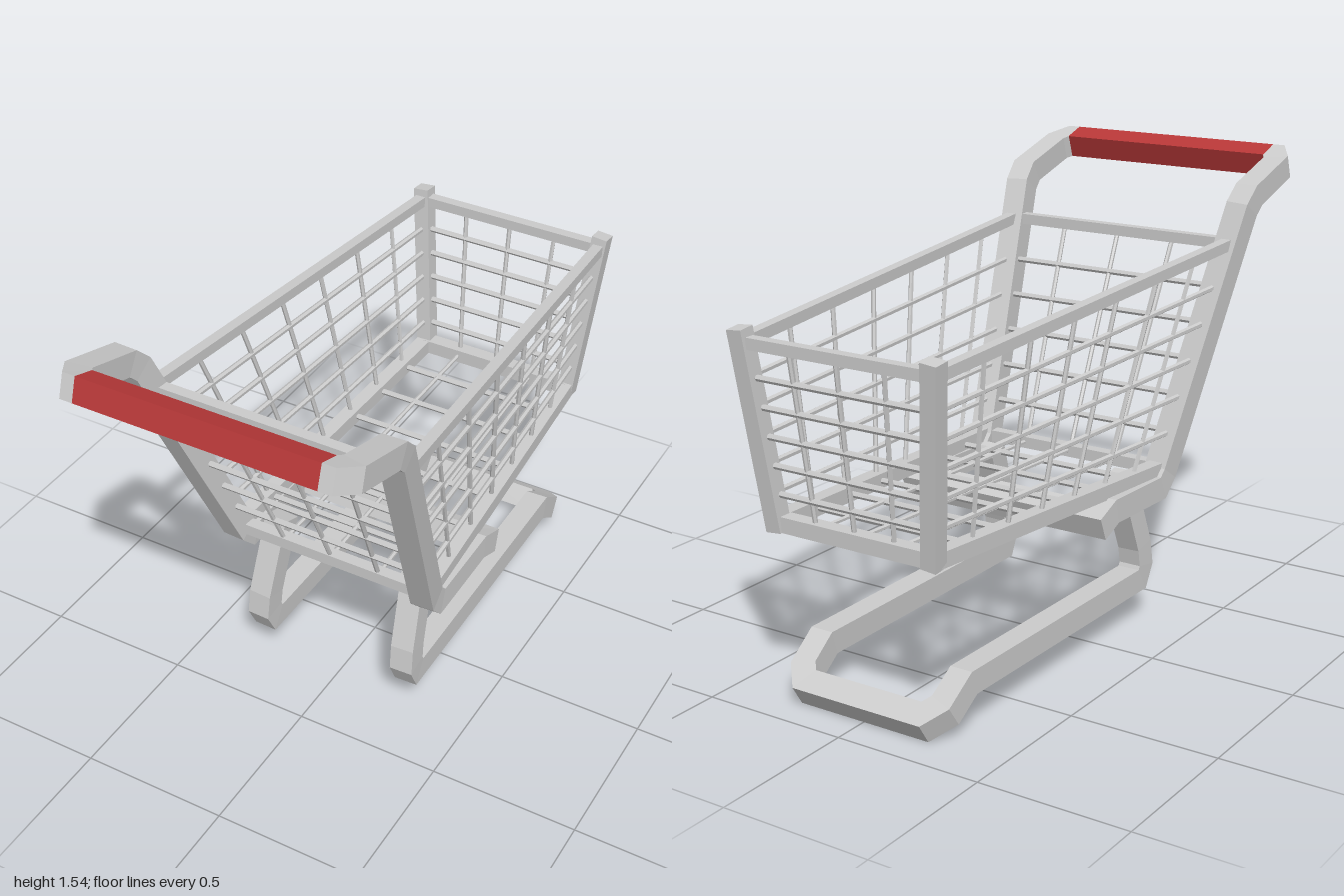
import * as THREE from 'three';

const grey = new THREE.MeshStandardMaterial({ color: 0xcccccc, flatShading: true });
const red = new THREE.MeshStandardMaterial({ color: 0xb83838, flatShading: true });
const V = (x, y, z) => new THREE.Vector3(x, y, z);

// Square bar swept along a path, mitred at every bend and capped at both ends
function bar(name, path, size, hint, material = grey) {
  const dirs = path.slice(1).map((p, i) => p.clone().sub(path[i]).normalize());
  const t = dirs[0];
  const h = hint || (Math.abs(t.z) < 0.9 ? V(0, 0, 1) : V(0, 1, 0));
  const d = h.clone().addScaledVector(t, -h.dot(t)).normalize();
  const n = t.clone().cross(d);
  const corner = (a, b) => path[0].clone().addScaledVector(d, a * size / 2).addScaledVector(n, b * size / 2);
  const rings = [[corner(1, -1), corner(1, 1), corner(-1, 1), corner(-1, -1)]];
  for (let i = 1; i < path.length; i++) {
    const dir = dirs[i - 1];
    const plane = dir.clone().add(dirs[i] || dir).normalize();
    rings.push(rings[i - 1].map(c => {
      const k = path[i].clone().sub(c).dot(plane) / dir.dot(plane);
      return c.clone().addScaledVector(dir, k);
    }));
  }
  const pts = [];
  const quad = (a, b, c, e) => pts.push(a, b, c, a, c, e);
  for (let i = 0; i + 1 < rings.length; i++) {
    for (let k = 0; k < 4; k++) {
      const m = (k + 1) % 4;
      quad(rings[i][k], rings[i][m], rings[i + 1][m], rings[i + 1][k]);
    }
  }
  const s = rings[0], e = rings[rings.length - 1];
  quad(s[3], s[2], s[1], s[0]);
  quad(e[0], e[1], e[2], e[3]);
  const geo = new THREE.BufferGeometry().setFromPoints(pts);
  geo.computeVertexNormals();
  const mesh = new THREE.Mesh(geo, material);
  mesh.name = name;
  return mesh;
}

// Six-sided wire between two points
function wire(name, a, b, radius) {
  const dir = b.clone().sub(a);
  const mesh = new THREE.Mesh(new THREE.CylinderGeometry(radius, radius, dir.length(), 6), grey);
  mesh.position.copy(a).lerp(b, 0.5);
  mesh.quaternion.setFromUnitVectors(V(0, 1, 0), dir.normalize());
  mesh.name = name;
  return mesh;
}

// Wire grid between the edge a-b and the opposite edge c-d; drop shifts the cross wires off a-b
function wirePanel(name, a, b, c, d, nu, nv, drop = 0) {
  const g = new THREE.Group();
  g.name = name;
  for (let i = 1; i < nu; i++) {
    const t = i / nu;
    g.add(wire('wire', a.clone().lerp(b, t), c.clone().lerp(d, t), 0.008));
  }
  for (let i = 1; i < nv; i++) {
    const t = drop + (1 - drop) * i / nv;
    g.add(wire('crossWire', a.clone().lerp(c, t), b.clone().lerp(d, t), 0.01));
  }
  return g;
}

export function createModel() {
  const cart = new THREE.Group();
  cart.name = 'shoppingCart';
  const tube = 0.08;

  // Handle grip
  const gripTilt = V(0, 0.32, 0.95);
  cart.add(bar('handleGrip', [V(-0.394, 1.49, 0.95), V(0.394, 1.49, 0.95)], tube, gripTilt, red));

  // Basket corners: front/back, top/bottom, on side s
  const FT = s => V(s * 0.43, 1.261, 0.595);
  const FB = s => V(s * 0.352, 0.545, 0.29);
  const BT = s => V(s * 0.343, 1.153, -0.962);
  const BB = s => V(s * 0.288, 0.59, -0.895);

  for (const s of [1, -1]) {
    const side = s > 0 ? 'left' : 'right';

    // Main frame: handle end, slanted upright, short rail under the basket, half crossbar
    cart.add(bar(side + 'MainFrame', [
      V(s * 0.394, 1.49, 0.95), V(s * 0.415, 1.49, 0.95), V(s * 0.445, 1.475, 0.905),
      V(s * 0.445, 1.413, 0.7), V(s * 0.44, 1.37, 0.657),
      V(s * 0.352, 0.533, 0.292), V(s * 0.35, 0.49, 0.25),
      V(s * 0.35, 0.498, -0.048), V(s * 0.35, 0.477, -0.1), V(0, 0.477, -0.1),
    ], tube, gripTilt));

    // Undercarriage: half crossbar, long floor rail, bent leg
    cart.add(bar(side + 'Undercarriage', [
      V(0, 0.054, -0.866), V(s * 0.22, 0.054, -0.866), V(s * 0.262, 0.085, -0.82),
      V(s * 0.266, 0.148, -0.73), V(s * 0.274, 0.148, 0.255), V(s * 0.275, 0.194, 0.278),
      V(s * 0.273, 0.265, 0.268), V(s * 0.26, 0.53, 0.175),
    ], tube, V(0, -0.54, -0.84)));

    // Basket side
    cart.add(bar(side + 'BasketRim', [FT(s), BT(s)], 0.036));
    cart.add(bar(side + 'BasketBase', [FB(s), BB(s)], 0.05));
    cart.add(bar(side + 'BackPost', [V(s * 0.285, 0.565, -0.9), V(s * 0.346, 1.195, -0.969)], 0.055));
    cart.add(wirePanel(side + 'SideWires', FT(s), BT(s), FB(s), BB(s), 7, 6, 0.03));
  }

  // Basket cross members
  for (const [name, corner, size] of [['frontRim', FT, 0.036], ['backRim', BT, 0.036],
    ['frontBase', FB, 0.04], ['backBase', BB, 0.05]]) {
    cart.add(bar(name, [corner(-1), corner(1)], size));
  }

  // Front, back and floor wires
  cart.add(wirePanel('frontWires', FT(-1), FT(1), FB(-1), FB(1), 4, 6, 0.03));
  cart.add(wirePanel('backWires', BT(-1), BT(1), BB(-1), BB(1), 4, 6, 0.03));
  cart.add(wirePanel('floorWires', FB(-1), FB(1), BB(-1), BB(1), 4, 7));

  return cart;
}
